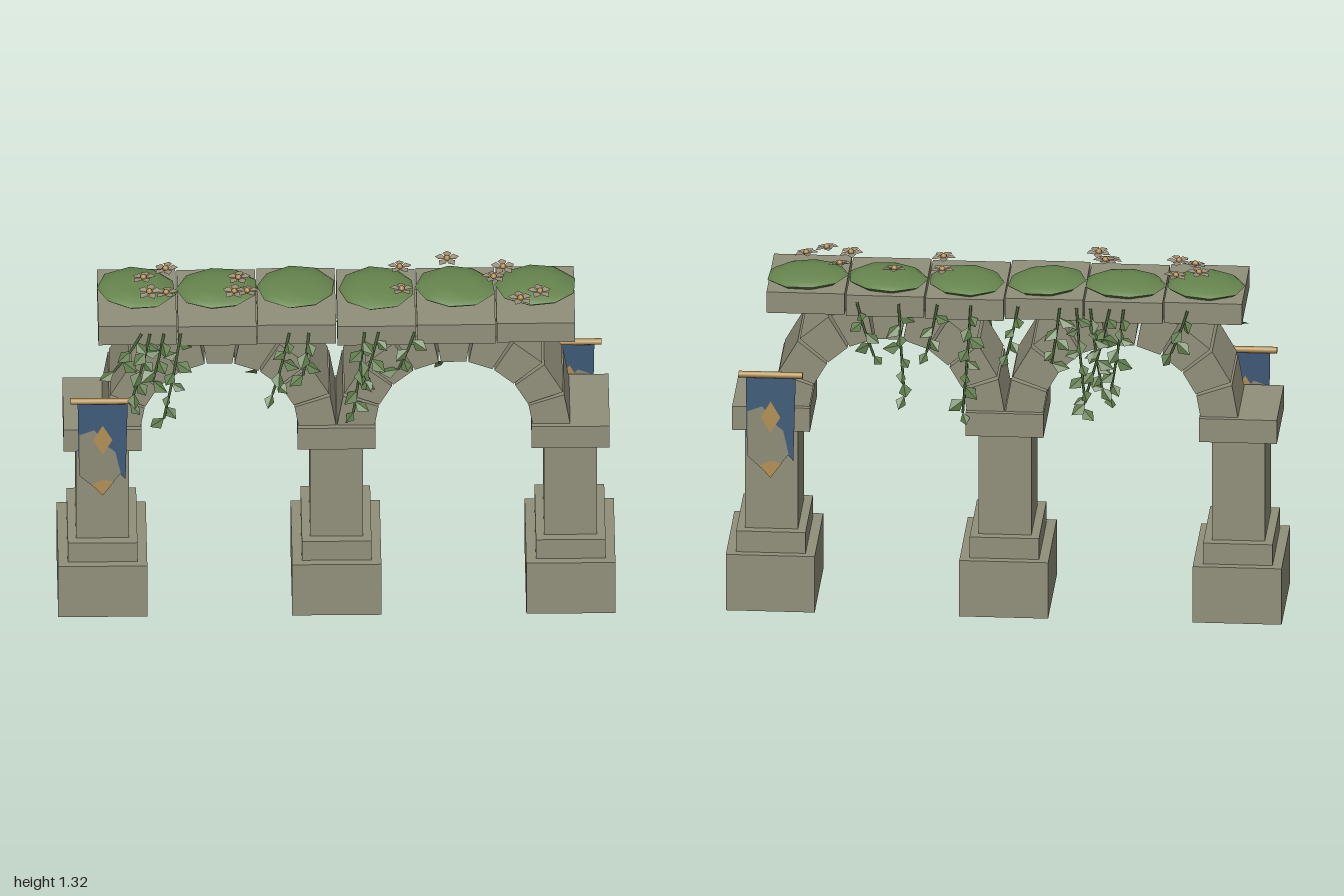
import * as THREE from 'three';
import { toCreasedNormals } from 'three/addons/utils/BufferGeometryUtils.js';

const mat = (name, color, extra = {}) => Object.assign(new THREE.MeshStandardMaterial({ color, ...extra }), { name });
const both = { side: THREE.DoubleSide };
const stone = mat('stone', 0x918f7a);
const moss = mat('moss', 0x66854e);
const stem = mat('vine stem', 0x4f6b3c);
const leafGreen = mat('leaf', 0x5c7848, both);
const petalTan = mat('petal', 0x9c8d78, both);
const gold = mat('gold', 0xb08d52, both);
const blue = mat('banner blue', 0x3f5a78, both);
const cloth = mat('banner grey', 0x8b8a76, both);

function add(parent, name, geo, material, x = 0, y = 0, z = 0) {
  const m = new THREE.Mesh(geo, material);
  m.name = name;
  m.position.set(x, y, z);
  parent.add(m);
  return m;
}

function seeded(seed) {
  return () => {
    seed = (seed * 16807) % 2147483647;
    return seed / 2147483647;
  };
}

const polygon = pts => new THREE.Shape(pts.map(p => new THREE.Vector2(p[0], p[1])));

// Stepped pier: [name, width, depth, bottom, top]
function pier(x) {
  const g = new THREE.Group();
  g.name = 'pier';
  for (const [name, w, d, y0, y1] of [
    ['plinth', 0.32, 0.43, 0, 0.215],
    ['plinthStep', 0.25, 0.37, 0.215, 0.295],
    ['shaft', 0.19, 0.3, 0.295, 0.68],
    ['capital', 0.28, 0.35, 0.68, 0.77],
  ]) add(g, name, new THREE.BoxGeometry(w, y1 - y0, d), stone, 0, (y0 + y1) / 2, 0);
  g.position.x = x;
  return g;
}

// Semicircular arch of nine wedge stones with narrow joints
function arch(x) {
  const g = new THREE.Group();
  g.name = 'arch';
  const inner = 0.285, outer = 0.42, count = 9, step = Math.PI / count, gap = 0.015;
  for (let i = 0; i < count; i++) {
    const a = i * step + gap, b = (i + 1) * step - gap;
    const at = (r, t) => [r * Math.cos(t), r * Math.sin(t)];
    const geo = new THREE.ExtrudeGeometry(
      polygon([at(inner, a), at(outer, a), at(outer, b), at(inner, b)]),
      { depth: 0.31, bevelEnabled: false });
    add(g, 'archStone', geo, stone, 0, 0, -0.155);
  }
  g.position.set(x, 0.755, 0);
  return g;
}

// Folded diamond leaf hanging from its base at the origin
function leafGeometry() {
  const geo = new THREE.BufferGeometry();
  geo.setAttribute('position', new THREE.Float32BufferAttribute([
    0, 0, 0, 0, -0.062, 0.008, 0.023, -0.03, -0.006,
    0, 0, 0, -0.023, -0.03, -0.006, 0, -0.062, 0.008,
  ], 3));
  geo.computeVertexNormals();
  return geo;
}

// Five-petalled flower with a bead in the middle
function flower(x, y, z, turn, petalGeo, beadGeo) {
  const g = new THREE.Group();
  g.name = 'flower';
  for (let i = 0; i < 5; i++) {
    const p = add(g, 'petal', petalGeo, petalTan);
    p.rotation.y = turn + i * Math.PI * 0.4;
  }
  add(g, 'flowerCentre', beadGeo, gold, 0, 0.005, 0);
  g.position.set(x, y, z);
  g.rotation.set(0.12 * Math.sin(turn * 3), 0, 0.12 * Math.cos(turn * 5));
  return g;
}

// Pointed banner on a rod, leaning slightly away from the pier
function banner() {
  const g = new THREE.Group();
  g.name = 'banner';
  const rod = add(g, 'bannerRod', new THREE.CylinderGeometry(0.012, 0.012, 0.23, 10), gold);
  rod.rotation.z = Math.PI / 2;
  const sheet = new THREE.Group();
  sheet.name = 'bannerSheet';
  sheet.rotation.x = -0.035;
  g.add(sheet);
  const layer = (name, pts, m, z) => add(sheet, name, new THREE.ShapeGeometry(polygon(pts)), m, 0, 0, z);
  layer('bannerCloth', [[-0.09, 0], [-0.085, -0.29], [-0.04, -0.33], [0.05, -0.29], [0.082, -0.325], [0.09, 0]], blue, 0);
  const lower = [[-0.083, -0.14], [-0.03, -0.12], [0.02, -0.19], [0.045, -0.21], [0.065, -0.3], [0, -0.385], [-0.083, -0.31]];
  const tip = [[-0.04, -0.345], [0, -0.325], [0.04, -0.335], [0, -0.39]];
  const diamond = [[0, -0.1], [0.035, -0.16], [0, -0.22], [-0.035, -0.16]];
  for (const s of [1, -1]) {
    layer('bannerLower', lower, cloth, 0.002 * s);
    layer('bannerTip', tip, gold, 0.004 * s);
    layer('bannerDiamond', diamond, gold, 0.004 * s);
  }
  return g;
}

export function createModel() {
  const model = new THREE.Group();
  model.name = 'ruinedArcade';
  const rand = seeded(71);

  for (const x of [-0.84, 0, 0.84]) model.add(pier(x));
  for (const x of [-0.42, 0.42]) model.add(arch(x));

  // Deck slabs, each with a low moss cushion
  const drop = [0, 0.004, 0, 0.008, 0.004, 0];
  drop.forEach((d, i) => {
    const x = -0.715 + i * 0.286;
    add(model, 'deckSlab', new THREE.BoxGeometry(0.281, 0.08, 0.38), stone, x, 1.18 - d, 0);
    let geo = new THREE.SphereGeometry(1, 9, 6);
    const pos = geo.attributes.position;
    for (let k = 0; k < pos.count; k++) {
      const a = Math.atan2(pos.getZ(k), pos.getX(k));
      const r = 1 + 0.05 * Math.sin(2 * a + i * 1.7) * Math.hypot(pos.getX(k), pos.getZ(k));
      pos.setXYZ(k, pos.getX(k) * r * 0.143, pos.getY(k) * 0.027, pos.getZ(k) * r * 0.14);
    }
    geo = toCreasedNormals(geo, 0.7);
    const cushion = add(model, 'mossCushion', geo, moss, x + 0.003 * (i % 2), 1.234 - d, -0.043);
    cushion.rotation.z = 0.03 * Math.sin(i * 2.3);
  });

  // Flowers just above the moss
  const petalGeo = new THREE.BufferGeometry();
  petalGeo.setAttribute('position', new THREE.Float32BufferAttribute([
    0, 0, 0, 0.028, 0.006, 0.016, 0.045, 0.002, 0,
    0, 0, 0, 0.045, 0.002, 0, 0.028, 0.006, -0.016,
  ], 3));
  petalGeo.computeVertexNormals();
  const beadGeo = new THREE.SphereGeometry(0.011, 8, 6);
  [
    [-0.61, 1.283, -0.09], [-0.69, 1.278, -0.04], [-0.67, 1.274, 0.05], [-0.61, 1.28, 0.065],
    [-0.35, 1.3, 0], [-0.365, 1.28, 0.06], [-0.32, 1.297, 0.085],
    [0.4, 1.295, -0.125], [0.23, 1.283, -0.09], [0.235, 1.278, 0.05],
    [0.6, 1.29, -0.075], [0.565, 1.301, 0.01], [0.73, 1.274, 0.065], [0.66, 1.277, 0.115],
  ].forEach((p, i) => model.add(flower(...p, i * 1.3, petalGeo, beadGeo)));

  // Hanging vines: [side of deck, top x, bottom x, bottom y]
  const leafGeo = leafGeometry();
  for (const [s, x0, x1, y1] of [
    [1, -0.67, -0.74, 0.88], [1, -0.7, -0.8, 1.02], [1, -0.56, -0.62, 0.82], [1, -0.62, -0.66, 0.98],
    [1, -0.17, -0.23, 0.92], [1, -0.1, -0.12, 1.0], [1, 0.1, 0.06, 0.84], [1, 0.15, 0.1, 0.98],
    [1, 0.28, 0.22, 1.02],
    [-1, -0.43, -0.38, 0.85], [-1, -0.38, -0.28, 0.8], [-1, -0.31, -0.35, 0.88], [-1, -0.26, -0.29, 0.82],
    [-1, -0.2, -0.17, 0.97], [-1, -0.66, -0.6, 1.02], [-1, -0.05, -0.01, 1.0], [-1, 0.12, 0.15, 0.77],
    [-1, 0.24, 0.28, 1.0], [-1, 0.38, 0.36, 0.83], [-1, 0.53, 0.47, 0.98],
  ]) {
    const vine = new THREE.Group();
    vine.name = 'vine';
    model.add(vine);
    const path = new THREE.CatmullRomCurve3([
      new THREE.Vector3(x0, 1.19, s * 0.192),
      new THREE.Vector3(x0 * 0.6 + x1 * 0.4, 1.19 * 0.55 + y1 * 0.45, s * 0.19),
      new THREE.Vector3(x1, y1, s * 0.178),
    ]);
    add(vine, 'vineStem', new THREE.TubeGeometry(path, 6, 0.005, 5), stem);
    const count = Math.round((1.19 - y1) / 0.045);
    for (let i = 1; i <= count; i++) {
      const p = path.getPoint(i / count);
      const leaf = add(vine, 'leaf', leafGeo, leafGreen, p.x, p.y, p.z);
      const size = 0.8 + 0.35 * rand();
      leaf.scale.setScalar(size);
      leaf.rotation.order = 'YXZ';
      leaf.rotation.set(-0.3 - 0.7 * rand(), (s > 0 ? 0 : Math.PI) + (rand() - 0.5) * 1.8, (i % 2 ? 1 : -1) * (0.4 + 0.7 * rand()));
    }
  }

  // Banners on opposite faces of the two end piers
  const front = banner();
  front.position.set(-0.84, 0.9, 0.187);
  const back = banner();
  back.position.set(0.84, 0.9, -0.187);
  back.rotation.y = Math.PI;
  model.add(front, back);

  return model;
}
